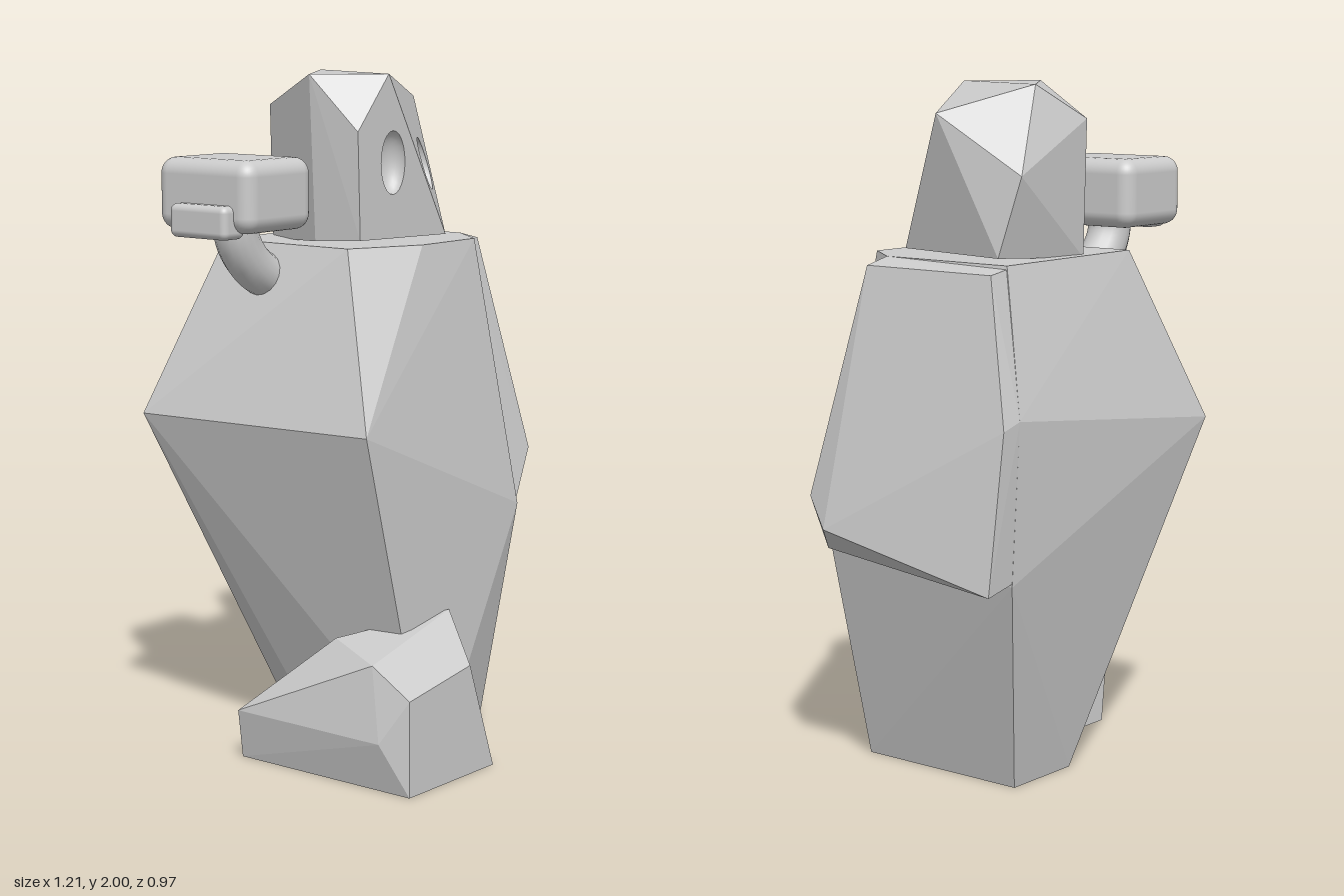
import * as THREE from 'three';
import { ConvexGeometry } from 'three/addons/geometries/ConvexGeometry.js';
import { RoundedBoxGeometry } from 'three/addons/geometries/RoundedBoxGeometry.js';

const flat = new THREE.MeshStandardMaterial({ color: 0xcccccc, flatShading: true });
const smooth = new THREE.MeshStandardMaterial({ color: 0xcccccc });
const bowl = new THREE.MeshStandardMaterial({ color: 0xcccccc, side: THREE.DoubleSide });

const vec = (p) => new THREE.Vector3(...p);

function mesh(name, geometry, material, parent) {
  const m = new THREE.Mesh(geometry, material);
  m.name = name;
  parent.add(m);
  return m;
}

// faceted solid spanned by its corner points
const facet = (points) => new ConvexGeometry(points.map(vec));

// drop the triangles of a faceted solid that lie in any of the given planes
function openFaces(geometry, planes) {
  const pos = geometry.attributes.position, kept = [];
  for (let i = 0; i < pos.count; i += 3) {
    const tri = [0, 1, 2].map((k) => new THREE.Vector3().fromBufferAttribute(pos, i + k));
    const inPlane = planes.some((pl) => tri.every((v) => Math.abs(pl.distanceToPoint(v)) < 1e-3));
    if (!inPlane) kept.push(...tri);
  }
  const open = new THREE.BufferGeometry().setFromPoints(kept);
  open.computeVertexNormals();
  return open;
}

// flat face plate with an elliptical socket and a hollow eye behind it
function eyeFace(side, corners, plane, eye, rx, ry, parent) {
  const group = new THREE.Group();
  group.name = side + 'EyeFace';
  plane.projectPoint(vec(eye), group.position);
  group.quaternion.setFromRotationMatrix(
    new THREE.Matrix4().lookAt(plane.normal, new THREE.Vector3(), new THREE.Vector3(0, 1, 0)));
  const inverse = group.quaternion.clone().invert();
  const outline = corners.map((c) => {
    const v = vec(c).sub(group.position).applyQuaternion(inverse);
    return new THREE.Vector2(v.x, v.y);
  });
  const shape = new THREE.Shape(outline);
  shape.holes.push(new THREE.Path().absellipse(0, 0, rx, ry, 0, Math.PI * 2, true));
  mesh(side + 'FacePlate', new THREE.ShapeGeometry(shape, 12), flat, group);
  const dish = new THREE.SphereGeometry(1, 24, 8, 0, Math.PI * 2, 0, Math.PI / 2);
  dish.rotateX(-Math.PI / 2).scale(rx, ry, 0.05);
  mesh(side + 'Eye', dish, bowl, group);
  parent.add(group);
}

export function createModel() {
  const model = new THREE.Group();
  model.name = 'facetedBird';

  // body: narrow shoulders, wide belly, small base
  mesh('body', facet([
    [-0.25, 1.51, -0.35], [0.34, 1.51, -0.36], [0.34, 1.51, 0.08],
    [0.23, 1.51, 0.215], [-0.02, 1.51, 0.215], [-0.245, 1.51, 0.12],
    [-0.465, 1.0, -0.485], [0.44, 1.1, -0.485], [0.46, 0.64, -0.475],
    [0.46, 0.68, 0.2], [0.345, 0.7, 0.3], [-0.38, 1.0, 0.3],
    [0.29, 0, -0.35], [0.03, 0, -0.35], [-0.07, 0, -0.15],
    [-0.08, 0, 0.27], [-0.01, 0, 0.285], [0.29, 0, 0.2],
  ]), flat, model);

  // folded wing on the left side
  mesh('leftWing', facet([
    [0.34, 1.51, 0.08], [0.34, 1.5, -0.36], [0.42, 1.49, 0.085], [0.42, 1.49, -0.367],
    [0.44, 1.1, -0.485], [0.51, 1.08, -0.485], [0.46, 0.65, -0.475], [0.57, 0.63, -0.48],
    [0.605, 0.75, 0.095], [0.555, 0.83, 0.19], [0.47, 0.66, 0.2],
  ]), flat, model);

  // foot at the front right
  mesh('rightFoot', facet([
    [-0.41, 0, 0.48], [-0.015, 0, 0.48], [-0.13, 0.325, 0.48], [-0.41, 0.28, 0.48],
    [0.005, 0.435, 0.3], [-0.01, 0, 0.28], [-0.41, 0.36, 0.345],
    [-0.45, 0.15, 0.4], [-0.45, 0.15, -0.13], [-0.42, 0, -0.14],
    [-0.3, 0.38, 0.12], [-0.08, 0, -0.14], [-0.03, 0.35, 0.1],
  ]), flat, model);

  // head, with its two front faces replaced by plates with eye sockets
  const head = new THREE.Group();
  head.name = 'head';
  model.add(head);
  const brow = [-0.07, 2, 0.13], temple = [-0.21, 1.84, 0.13], cheek = [-0.2, 1.53, 0.13];
  const chin = [0.2, 1.52, 0.13], crown = [0.305, 1.92, -0.075];
  const planeOf = (a, b, c) => new THREE.Plane().setFromCoplanarPoints(vec(a), vec(b), vec(c));
  const rightPlane = planeOf(brow, cheek, chin), leftPlane = planeOf(brow, chin, crown);
  const skull = facet([
    brow, temple, cheek, chin, crown,
    [-0.235, 2, -0.03], [0.105, 2, -0.275], [-0.065, 1.9, -0.33], [0.25, 1.75, -0.34],
    [0.28, 1.52, -0.28], [-0.065, 1.5, -0.32], [-0.21, 1.52, -0.03],
  ]);
  mesh('skull', openFaces(skull, [rightPlane, leftPlane]), flat, head);
  eyeFace('right', [brow, temple, cheek, chin], rightPlane, [-0.05, 1.745, 0.13], 0.055, 0.092, head);
  eyeFace('left', [brow, chin, crown], leftPlane, [0.165, 1.73, 0.08], 0.058, 0.08, head);

  // raised right arm ending in a rounded block with a small thumb block
  const arm = new THREE.Group();
  arm.name = 'rightArm';
  model.add(arm);
  const path = new THREE.CatmullRomCurve3([
    [-0.405, 1.62, -0.17], [-0.39, 1.53, -0.17], [-0.34, 1.46, -0.17],
    [-0.26, 1.41, -0.17], [-0.18, 1.39, -0.17],
  ].map(vec));
  mesh('forearm', new THREE.TubeGeometry(path, 20, 0.065, 16), smooth, arm);
  mesh('hand', new RoundedBoxGeometry(0.285, 0.205, 0.355, 4, 0.045), smooth, arm)
    .position.set(-0.428, 1.668, -0.143);
  mesh('thumb', new RoundedBoxGeometry(0.09, 0.095, 0.215, 4, 0.02), smooth, arm)
    .position.set(-0.563, 1.598, -0.128);

  return model;
}
